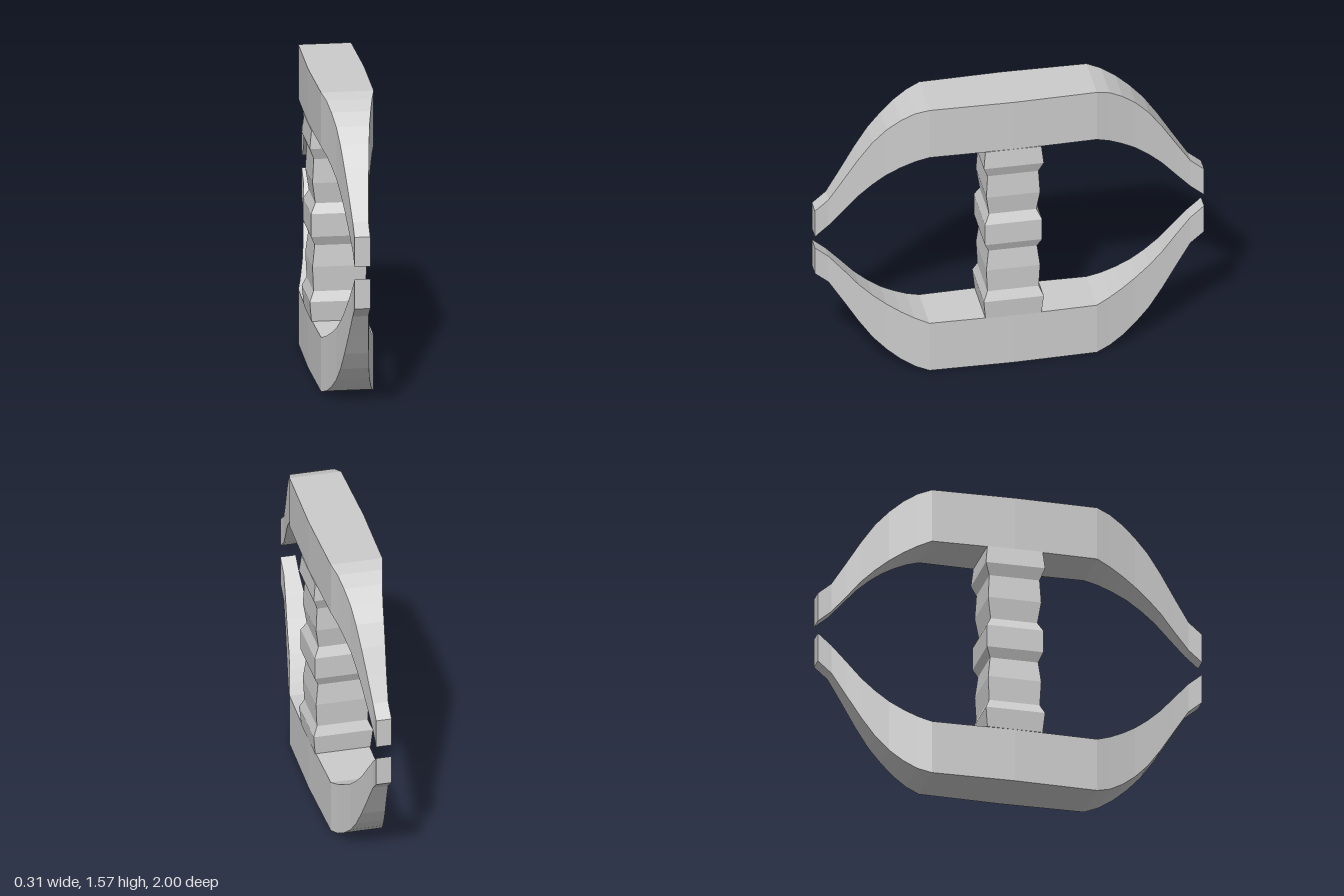
import * as THREE from 'three';

const material = new THREE.MeshStandardMaterial({ color: 0xcccccc, flatShading: true });

// Lofts four-cornered rings (counter-clockwise seen from the end of the run) into a capped solid
function loft(rings) {
  const index = [];
  for (let i = 0; i < rings.length - 1; i++) {
    for (let k = 0; k < 4; k++) {
      const a = i * 4 + k, b = i * 4 + (k + 1) % 4;
      index.push(a, b, b + 4, a, b + 4, a + 4);
    }
  }
  const e = (rings.length - 1) * 4;
  index.push(0, 2, 1, 0, 3, 2, e, e + 1, e + 2, e, e + 2, e + 3);
  const indexed = new THREE.BufferGeometry();
  indexed.setAttribute('position', new THREE.Float32BufferAttribute(rings.flat(2), 3));
  indexed.setIndex(index);
  const geometry = indexed.toNonIndexed();
  geometry.computeVertexNormals();
  return geometry;
}

// Half of one arched prong: [z, inner y, outer y, half width]
const HEIGHT = 1.573;
const PRONG = [
  [0, 1.288, 1.573, 0.143],
  [0.43, 1.288, 1.573, 0.134],
  [0.5, 1.26, 1.55, 0.116],
  [0.57, 1.223, 1.508, 0.1],
  [0.64, 1.178, 1.45, 0.084],
  [0.71, 1.122, 1.375, 0.073],
  [0.78, 1.055, 1.275, 0.062],
  [0.855, 0.966, 1.154, 0.05],
  [0.93, 0.88, 1.035, 0.04],
  [1, 0.82, 0.975, 0.04],
];

function prongGeometry(lower) {
  const back = PRONG.slice(1).reverse().map(([z, ...rest]) => [-z, ...rest]);
  return loft([...back, ...PRONG].map(([z, inner, outer, w]) => {
    const low = lower ? HEIGHT - outer : inner;
    const high = lower ? HEIGHT - inner : outer;
    return [[-w, low, z], [w, low, z], [w, high, z], [-w, high, z]];
  }));
}

// Square ribbed grip: [y, half width]
const GRIP = [
  [0.285, 0.144], [0.39, 0.154], [0.44, 0.132], [0.57, 0.138],
  [0.68, 0.125], [0.73, 0.147], [0.85, 0.147], [0.9, 0.122],
  [1.01, 0.138], [1.135, 0.131], [1.195, 0.154], [1.29, 0.144],
];

export function createModel() {
  const model = new THREE.Group();
  model.name = 'doubleProngedHandle';
  const add = (name, geometry) => {
    const mesh = new THREE.Mesh(geometry, material);
    mesh.name = name;
    model.add(mesh);
  };
  add('upperProngs', prongGeometry(false));
  add('lowerProngs', prongGeometry(true));
  add('grip', loft(GRIP.map(([y, w]) => [[-w, y, w], [w, y, w], [w, y, -w], [-w, y, -w]])));
  return model;
}
